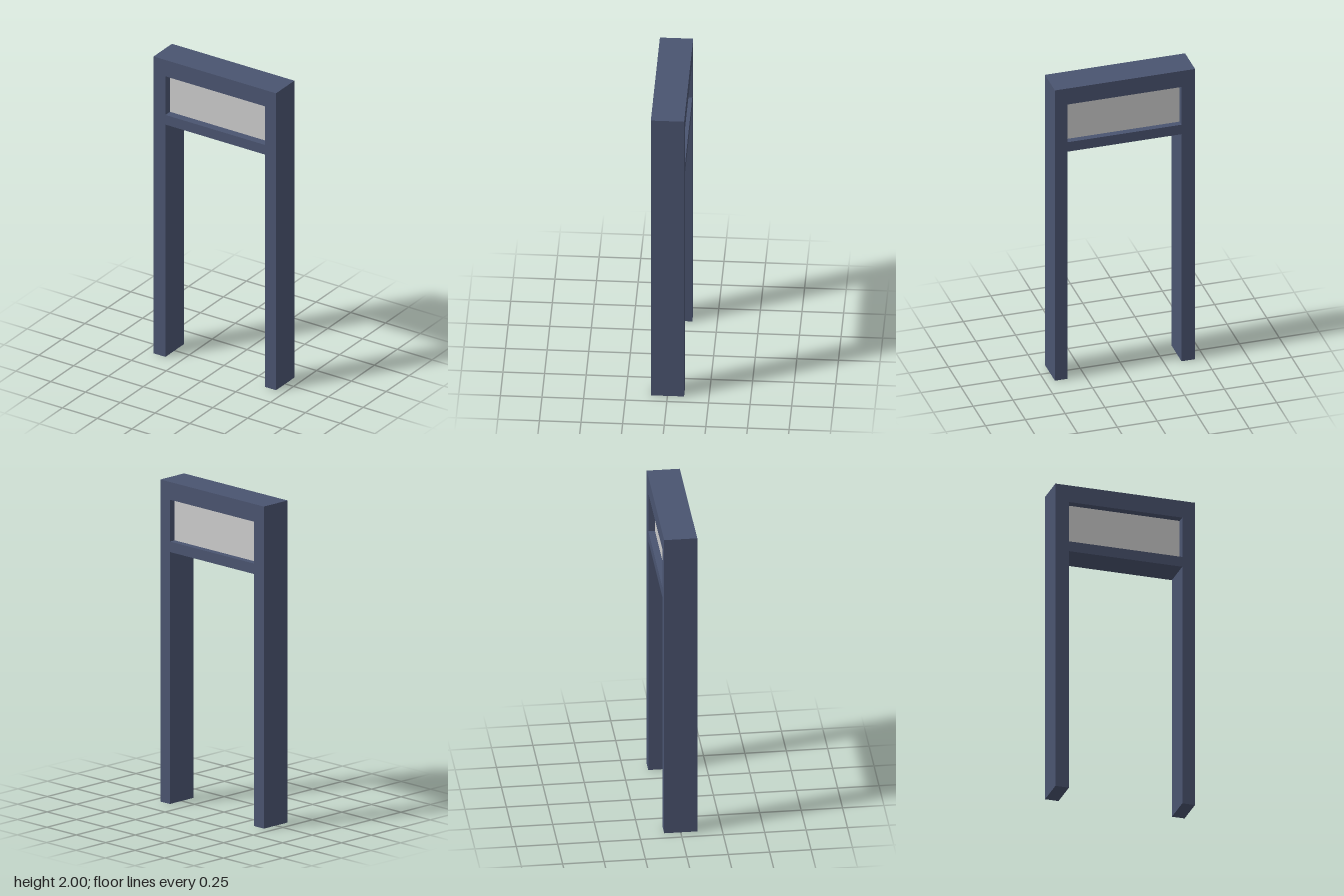
import * as THREE from 'three';

export function createModel() {
  const group = new THREE.Group();
  const frameMat = new THREE.MeshStandardMaterial({ color: 0x4a5470 });
  const panelMat = new THREE.MeshStandardMaterial({ color: 0xcccccc });

  const outer = 0.44, left = -0.355, right = 0.36; // frame half width and opening sides
  const depth = 0.2;
  const railBottom = 1.565, railTop = 1.63, headBottom = 1.89;

  // Door frame: an upside-down U with a crossbar, cut from one outline
  const outline = new THREE.Shape([
    [-outer, 0], [left, 0], [left, railBottom], [right, railBottom],
    [right, 0], [outer, 0], [outer, 2], [-outer, 2],
  ].map(([x, y]) => new THREE.Vector2(x, y)));
  outline.holes.push(new THREE.Path([
    [left, railTop], [left, headBottom], [right, headBottom], [right, railTop],
  ].map(([x, y]) => new THREE.Vector2(x, y))));

  const frameGeo = new THREE.ExtrudeGeometry(outline, { depth, bevelEnabled: false });
  frameGeo.translate(0, 0, -depth / 2);
  const frame = new THREE.Mesh(frameGeo, frameMat);
  frame.name = 'doorFrame';
  group.add(frame);

  // Transom panel, recessed on both faces
  const panelFront = 0.05, panelBack = -0.06;
  const panel = new THREE.Mesh(
    new THREE.BoxGeometry(right - left, headBottom - railTop, panelFront - panelBack),
    panelMat
  );
  panel.position.set((left + right) / 2, (railTop + headBottom) / 2, (panelFront + panelBack) / 2);
  panel.name = 'transomPanel';
  group.add(panel);

  return group;
}
